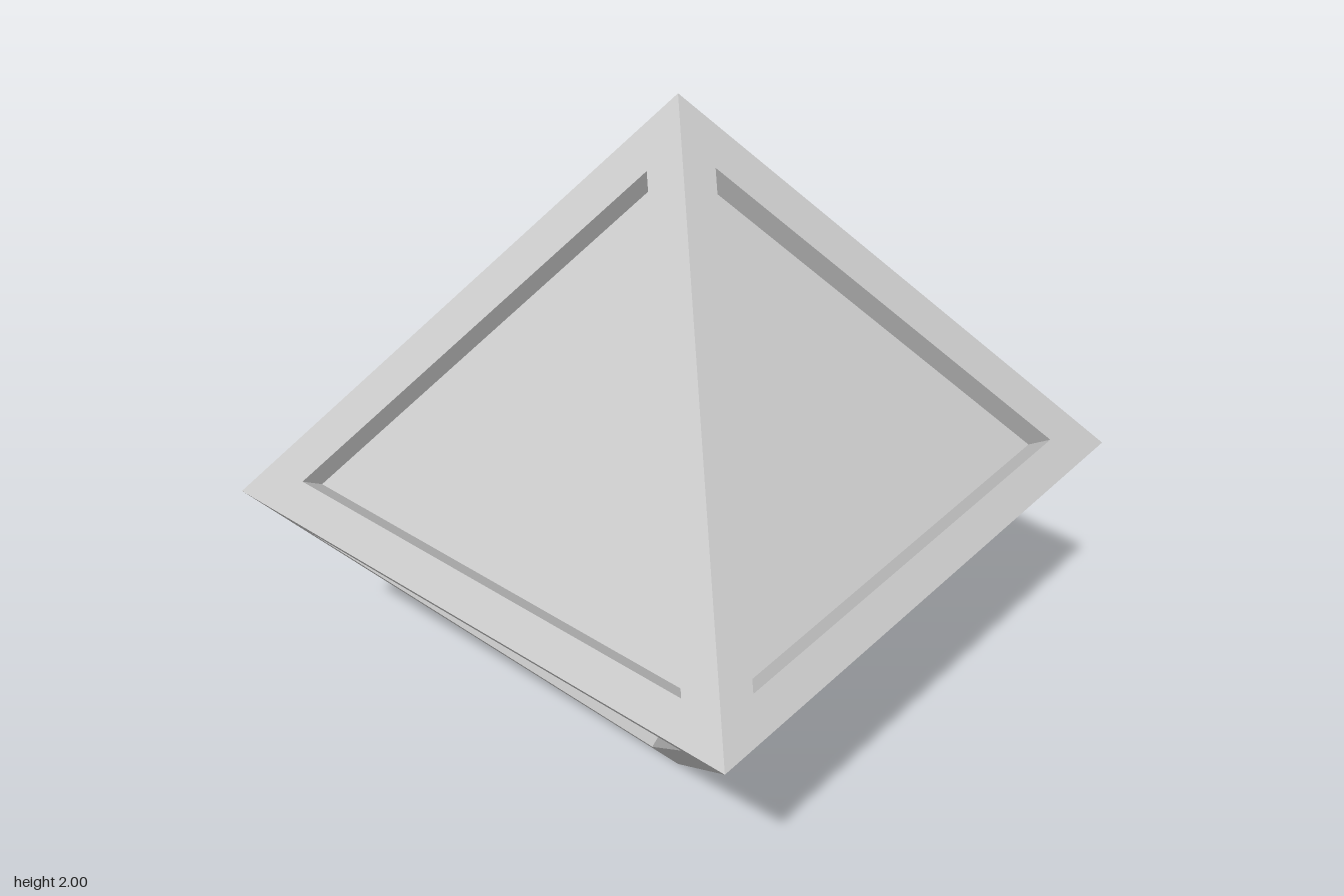
import * as THREE from 'three';

const HALF = 0.732;   // half width of the square waist
const DEPTH = 0.07;   // depth of each recess

// Quads between two loops of three corners, or a single cap when only one is given
function loopGeometry(a, b) {
  const tris = b
    ? a.flatMap((p, i) => {
        const j = (i + 1) % 3;
        return [p, a[j], b[j], p, b[j], b[i]];
      })
    : a;
  const g = new THREE.BufferGeometry().setFromPoints(tris);
  g.computeVertexNormals();
  return g;
}

export function createModel() {
  const model = new THREE.Group();
  model.name = 'recessedOctahedron';
  const material = new THREE.MeshStandardMaterial({ color: 0xcccccc, flatShading: true });

  // Corner loops of the upper front face, measured from the waist
  const onFace = (x, y) => new THREE.Vector3(x, y, HALF * (1 - y));
  const outer = [onFace(-HALF, 0), onFace(HALF, 0), onFace(0, 1)];
  const rim = [onFace(-0.571, 0.075), onFace(0.571, 0.075), onFace(0, 0.857)];
  const inward = new THREE.Vector3(0, -HALF, -1).setLength(DEPTH);
  const floor = rim.map(p => p.clone().add(inward));

  const parts = {
    frame: loopGeometry(outer, rim),
    recessWalls: loopGeometry(rim, floor),
    recessedPanel: loopGeometry(floor),
  };

  // Four faces around each half; the lower half is the upper one turned over
  for (const half of ['upper', 'lower']) {
    const pyramid = new THREE.Group();
    pyramid.name = half + 'Pyramid';
    pyramid.position.y = 1;
    if (half === 'lower') pyramid.rotation.z = Math.PI;
    for (let i = 0; i < 4; i++) {
      const face = new THREE.Group();
      face.name = half + 'Face' + (i + 1);
      face.rotation.y = i * Math.PI / 2;
      for (const [name, geometry] of Object.entries(parts)) {
        const mesh = new THREE.Mesh(geometry, material);
        mesh.name = name;
        face.add(mesh);
      }
      pyramid.add(face);
    }
    model.add(pyramid);
  }
  return model;
}
